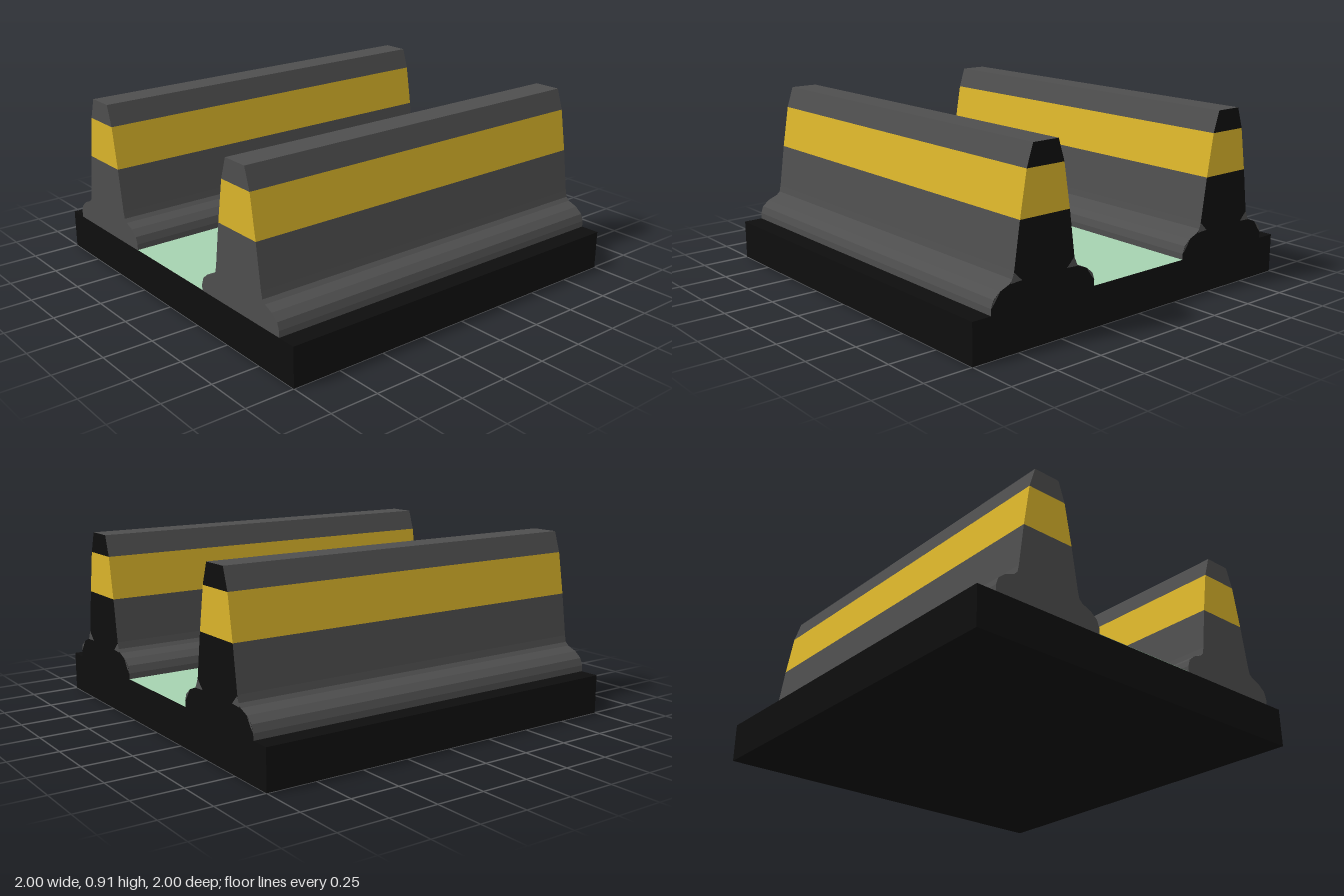
import * as THREE from 'three';

const mat = (color, side = THREE.FrontSide) => new THREE.MeshStandardMaterial({ color, side });
const black = mat(0x0e0e0e), grey = mat(0x4e4e4e), yellow = mat(0xdab42a);
const green = mat(0xa6d2b0, THREE.DoubleSide);

// right half of each barrier layer: [half width, height]
const layers = [
  { name: 'barrierFoot', side: grey, end: black, pts: [[0.3, 0.2], [0.3, 0.232], [0.287, 0.268],
    [0.25, 0.298], [0.2, 0.318], [0.182, 0.335], [0.174, 0.37], [0.143, 0.588]] },
  { name: 'stripe', side: yellow, end: yellow, pts: [[0.143, 0.588], [0.107, 0.803]] },
  { name: 'barrierCap', side: grey, end: black, pts: [[0.107, 0.803], [0.072, 0.91]] },
];

// mirrored profile extruded along x; the +x end may have its own material
function layerMesh({ name, side, end, pts }) {
  const outline = [...pts, ...pts.map(([w, y]) => [-w, y]).reverse()];
  const shape = new THREE.Shape(outline.map(p => new THREE.Vector2(...p)));
  const geo = new THREE.ExtrudeGeometry(shape, { depth: 2, bevelEnabled: false });
  geo.translate(0, 0, -1).rotateY(Math.PI / 2);
  const [caps, walls] = geo.groups.map(g => ({ ...g }));
  geo.clearGroups();
  geo.addGroup(0, caps.count / 2, 0);
  geo.addGroup(caps.count / 2, caps.count / 2, 1);
  geo.addGroup(walls.start, walls.count, 0);
  const mesh = new THREE.Mesh(geo, [side, end]);
  mesh.name = name;
  return mesh;
}

// small grey chips on the +x end, at the foot's curves
const chips = [
  [[0.174, 0.365], [0.13, 0.322], [0.195, 0.318]],
  [[0.3, 0.232], [0.287, 0.268], [0.25, 0.298], [0.28, 0.255]],
];
function chipMesh(pts, s) {
  const shape = new THREE.Shape(pts.map(([w, y]) => new THREE.Vector2(w * s, y)));
  const mesh = new THREE.Mesh(new THREE.ShapeGeometry(shape).rotateY(Math.PI / 2), grey);
  mesh.position.x = 1.001;
  mesh.name = 'footChip';
  return mesh;
}

export function createModel() {
  const model = new THREE.Group();
  model.name = 'barrierTile';

  const slab = new THREE.Mesh(new THREE.BoxGeometry(2, 0.2, 2), black);
  slab.position.y = 0.1;
  slab.name = 'slab';

  const floor = new THREE.Mesh(new THREE.PlaneGeometry(2, 0.6).rotateX(-Math.PI / 2), green);
  floor.position.y = 0.202;
  floor.name = 'floor';
  model.add(slab, floor);

  // front and back barriers
  for (const z of [0.6, -0.6]) {
    const barrier = new THREE.Group();
    barrier.name = z > 0 ? 'frontBarrier' : 'backBarrier';
    barrier.add(...layers.map(layerMesh));
    for (const s of [1, -1]) barrier.add(...chips.map(c => chipMesh(c, s)));
    barrier.position.z = z;
    model.add(barrier);
  }
  return model;
}
